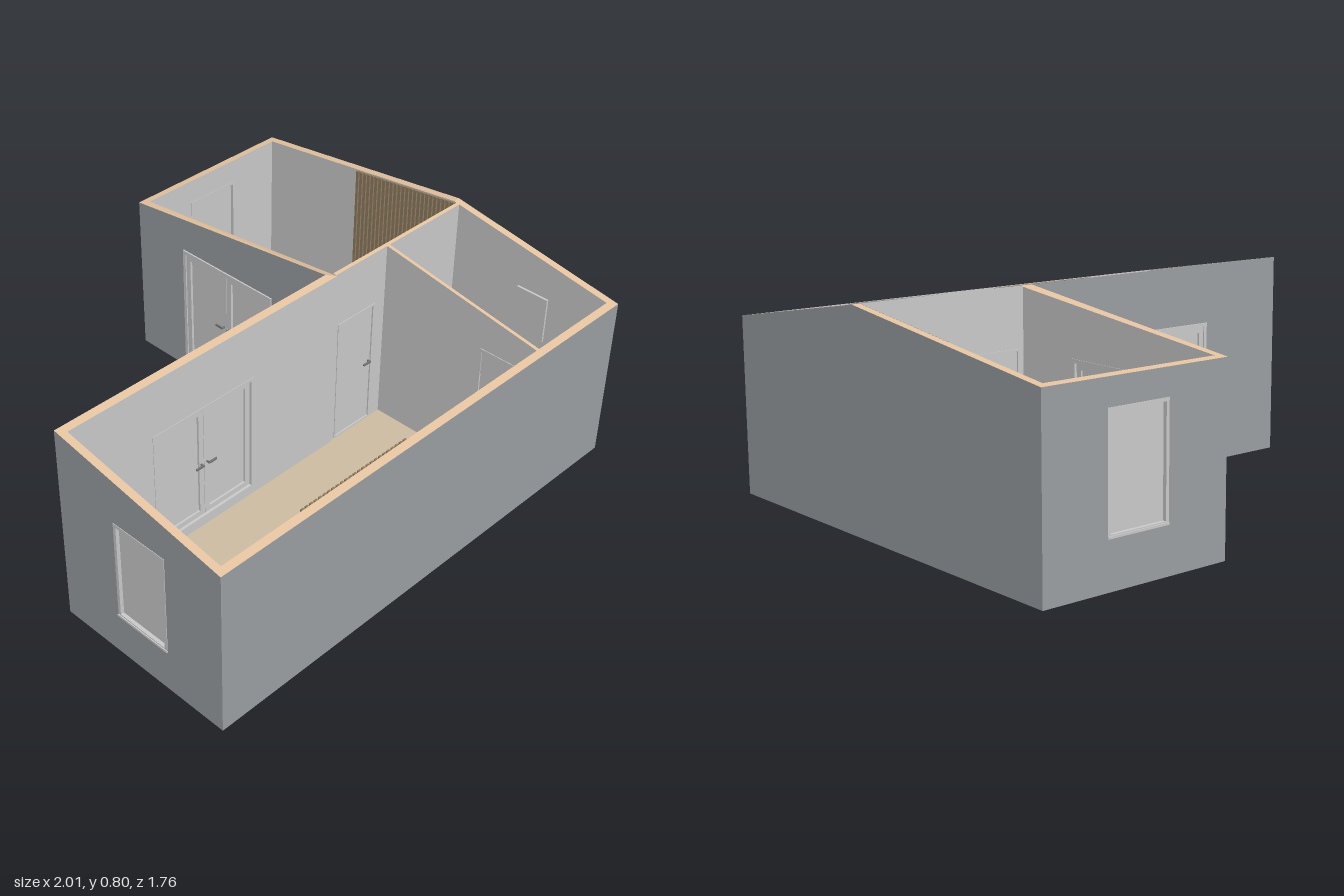
import * as THREE from 'three';

const mat = (color) => new THREE.MeshStandardMaterial({ color, flatShading: true });
const plaster = mat(0xcccccc);
const cladding = mat(0x9ba0a3);
const timber = mat(0xe6c4a0);
const boards = mat(0xd0bea4);
const underside = mat(0x85888b);
const slatWood = mat(0x8f7d60);
const handleMetal = mat(0x777777);

const T = 0.03; // outer wall thickness
const RIDGE = 0.125;
const roofHeight = (z) => 0.795 - (z > RIDGE ? (z - RIDGE) / 6 : (RIDGE - z) / 8);

function box(parent, name, x0, x1, y0, y1, z0, z1, material = plaster) {
  const m = new THREE.Mesh(new THREE.BoxGeometry(x1 - x0, y1 - y0, z1 - z0), material);
  m.position.set((x0 + x1) / 2, (y0 + y1) / 2, (z0 + z1) / 2);
  m.name = name;
  parent.add(m);
  return m;
}

// separate materials for the first cap, second cap and sides of an extrusion
function splitCaps(geo) {
  const caps = geo.groups[0].count;
  const total = geo.attributes.position.count;
  geo.clearGroups();
  geo.addGroup(0, caps / 2, 0);
  geo.addGroup(caps / 2, caps / 2, 1);
  geo.addGroup(caps, total - caps, 2);
}

// wall from a to b; local x runs along it, local z points outwards (outer face at z = 0)
// k0, k1: corner mitres (1 convex, -1 concave, 0 square)
function wall(parent, name, a, b, t, k0, k1, holes = [], outer = cladding) {
  const len = Math.hypot(b[0] - a[0], b[1] - a[1]);
  const dx = (b[0] - a[0]) / len, dz = (b[1] - a[1]) / len;
  const pts = [[0, 0], [len, 0], [len, 1]];
  const ridgeU = dz ? (RIDGE - a[1]) / dz : -1;
  if (ridgeU > 0.001 && ridgeU < len - 0.001) pts.push([ridgeU, 1]);
  pts.push([0, 1]);
  const shape = new THREE.Shape(pts.map((p) => new THREE.Vector2(...p)));
  for (const [u0, u1, y0, y1] of holes) {
    shape.holes.push(new THREE.Path([[u0, y0], [u0, y1], [u1, y1], [u1, y0]].map((p) => new THREE.Vector2(...p))));
  }
  const geo = new THREE.ExtrudeGeometry(shape, { depth: t, bevelEnabled: false });
  geo.translate(0, 0, -t);
  const p = geo.attributes.position;
  for (let i = 0; i < p.count; i++) {
    let u = p.getX(i);
    const w = p.getZ(i);
    if (u < 1e-4) u += -w * k0;
    else if (u > len - 1e-4) u += w * k1;
    p.setX(i, u);
    // wall heads follow the roof pitch
    if (p.getY(i) > 0.9) p.setY(i, roofHeight(a[1] + u * dz + w * dx));
  }
  geo.computeVertexNormals();
  splitCaps(geo);
  const g = new THREE.Group();
  g.name = name;
  g.position.set(a[0], 0, a[1]);
  g.rotation.y = Math.atan2(-dz, dx);
  const m = new THREE.Mesh(geo, [plaster, outer, timber]);
  m.name = name + 'Body';
  g.add(m);
  parent.add(g);
  return g;
}

// four bars around a rectangle
function frame(g, name, [u0, u1, y0, y1], bar, z0, z1) {
  box(g, name, u0, u0 + bar, y0, y1, z0, z1);
  box(g, name, u1 - bar, u1, y0, y1, z0, z1);
  box(g, name, u0 + bar, u1 - bar, y1 - bar, y1, z0, z1);
  box(g, name, u0 + bar, u1 - bar, y0, y0 + bar, z0, z1);
}

// lever handle on both faces
function handle(g, u, y, dir, zIn, zOut) {
  for (const [z, s] of [[zOut, 1], [zIn, -1]]) {
    const far = z + s * 0.016;
    box(g, 'handleStem', u - 0.003, u + 0.003, y - 0.003, y + 0.003, Math.min(z, far), Math.max(z, far), handleMetal);
    const end = u + dir * 0.035, near = far - s * 0.006;
    box(g, 'handleLever', Math.min(u, end), Math.max(u, end), y - 0.004, y + 0.004,
      Math.min(near, far), Math.max(near, far), handleMetal);
  }
}

function doubleDoor(g, o) {
  const [u0, u1, y0, y1] = o, mid = (u0 + u1) / 2;
  frame(g, 'doorFrame', o, 0.014, -T - 0.002, 0.006);
  for (const [a, b, h, dir] of [[u0 + 0.015, mid - 0.001, mid - 0.014, -1], [mid + 0.001, u1 - 0.015, mid + 0.014, 1]]) {
    frame(g, 'doorLeaf', [a, b, y0 + 0.015, y1 - 0.015], 0.022, -0.022, 0.002);
    box(g, 'doorPane', a + 0.02, b - 0.02, y0 + 0.03, y1 - 0.03, -0.014, -0.008);
    handle(g, h, 0.31, dir, -0.022, 0.002);
  }
}

function windowUnit(g, o) {
  const [u0, u1, y0, y1] = o;
  frame(g, 'windowFrame', o, 0.012, -T - 0.002, 0.002);
  box(g, 'windowPane', u0 + 0.01, u1 - 0.01, y0 + 0.01, y1 - 0.01, -0.018, -0.012);
  box(g, 'windowSill', u0, u1, y0, y0 + 0.008, 0, 0.006);
}

function innerDoor(g, o, t, u, dir) {
  const [u0, u1, y0, y1] = o;
  frame(g, 'innerDoorFrame', o, 0.008, -t - 0.003, 0.003);
  box(g, 'innerDoorLeaf', u0 + 0.009, u1 - 0.009, y0 + 0.009, y1 - 0.009, -t + 0.002, -0.002);
  handle(g, u, 0.31, dir, -t + 0.002, -0.002);
}

// flat outline in x and z, raised from y0 to y1
function slab(parent, name, shape, y0, y1, materials = plaster) {
  const geo = new THREE.ExtrudeGeometry(shape, { depth: y1 - y0, bevelEnabled: false, curveSegments: 16 });
  geo.rotateX(Math.PI / 2);
  geo.translate(0, y1, 0);
  if (Array.isArray(materials)) splitCaps(geo);
  const m = new THREE.Mesh(geo, materials);
  m.name = name;
  parent.add(m);
}

// quarter-round shower outline with its corner at (x, z)
function showerShape(x, z, size, straight) {
  const r = size - straight, s = new THREE.Shape();
  s.moveTo(x, z);
  s.lineTo(x - size, z);
  s.lineTo(x - size, z + straight);
  s.absarc(x - straight, z + straight, r, Math.PI, Math.PI / 2, true);
  s.lineTo(x, z + size);
  s.closePath();
  return s;
}

function bathroom(root) {
  const g = new THREE.Group();
  g.name = 'bathroom';
  root.add(g);
  // shower tray with raised rim
  const rim = showerShape(0.967, 0.152, 0.222, 0.05);
  rim.holes.push(showerShape(0.945, 0.172, 0.185, 0.04));
  slab(g, 'showerRim', rim, 0.03, 0.075);
  slab(g, 'showerTray', showerShape(0.96, 0.16, 0.208, 0.045), 0.03, 0.05);
  // basin and mirror
  box(g, 'basinBack', 0.93, 0.969, 0.2, 0.27, 0.455, 0.6);
  const bowlPts = [[0.001, 0.19], [0.03, 0.2], [0.052, 0.265], [0.044, 0.265], [0.026, 0.215], [0.001, 0.21]];
  const bowl = new THREE.Mesh(new THREE.LatheGeometry(bowlPts.map((p) => new THREE.Vector2(...p)), 24), plaster);
  bowl.position.set(0.932, 0.008, 0.527);
  bowl.name = 'basinBowl';
  g.add(bowl);
  box(g, 'tap', 0.925, 0.94, 0.27, 0.285, 0.522, 0.532, handleMetal);
  box(g, 'mirror', 0.96, 0.969, 0.38, 0.57, 0.46, 0.6);
  // toilet
  box(g, 'toiletCistern', 0.917, 0.969, 0.03, 0.25, 0.685, 0.775);
  const seat = (r, end) => {
    const s = new THREE.Shape();
    s.moveTo(0.917, 0.73 + r);
    s.lineTo(end + r, 0.73 + r);
    s.absarc(end + r, 0.73, r, Math.PI / 2, Math.PI * 1.5, false);
    s.lineTo(0.917, 0.73 - r);
    return s;
  };
  slab(g, 'toiletFoot', seat(0.03, 0.84), 0.03, 0.1);
  slab(g, 'toiletBowl', seat(0.043, 0.808), 0.1, 0.145);
  slab(g, 'toiletSeat', seat(0.046, 0.805), 0.145, 0.16);
}

export function createModel() {
  const root = new THREE.Group();
  root.name = 'house';
  const B = 0.875;

  // floor inside the L-shaped walls
  const plan = [[-0.97, 0.155], [0.28, 0.155], [0.28, -0.845], [0.97, -0.845], [0.97, 0.845], [-0.97, 0.845]];
  slab(root, 'floor', new THREE.Shape(plan.map((p) => new THREE.Vector2(...p))), 0.02, 0.03, [boards, underside, boards]);

  // outer walls
  wall(root, 'frontWall', [-1, B], [1, B], T, 1, 1);
  wall(root, 'leftWall', [1, B], [1, -B], T, 1, 1);
  const wingWindow = [0.25, 0.5, 0.17, 0.575];
  windowUnit(wall(root, 'wingBackWall', [1, -B], [0.25, -B], T, 1, 1, [wingWindow]), wingWindow);
  const wingDoor = [0.255, 0.735, 0.06, 0.565];
  doubleDoor(wall(root, 'wingSideWall', [0.25, -B], [0.25, RIDGE], T, 1, -1, [wingDoor]), wingDoor);
  const mainDoor = [0.39, 0.87, 0.06, 0.565];
  doubleDoor(wall(root, 'mainBackWall', [0.25, RIDGE], [-1, RIDGE], T, -1, 1, [mainDoor]), mainDoor);
  const endWindow = [0.265, 0.5, 0.17, 0.575];
  windowUnit(wall(root, 'rightWall', [-1, RIDGE], [-1, B], T, 1, 1, [endWindow]), endWindow);

  // thin partitions with inner doors
  const bathDoor = [0.035, 0.235, 0.032, 0.565];
  innerDoor(wall(root, 'bathroomPartition', [0.57, 0.845], [0.57, 0.15], 0.014, 0, 0, [bathDoor], plaster), bathDoor, 0.014, 0.215, -1);
  const roomDoor = [0.02, 0.22, 0.032, 0.565];
  innerDoor(wall(root, 'wingPartition', [0.28, 0.15], [0.97, 0.15], 0.014, 0, 0, [roomDoor], plaster), roomDoor, 0.014, 0.2, -1);

  // slatted wall panels
  const N = 25, step = 0.02;
  box(root, 'slatBacking', -0.62, -0.12, 0.03, 0.672, 0.842, 0.846, slatWood);
  for (let i = 0; i < N; i++) {
    const x = -0.62 + i * step, z = -0.365 + i * step;
    box(root, 'frontSlat', x, x + 0.012, 0.03, 0.672, 0.834, 0.842, slatWood);
    const top = roofHeight(z) - 0.003;
    box(root, 'sideSlat', 0.96, 0.967, 0.03, top, z, z + 0.012, slatWood);
    box(root, 'sideSlatBacking', 0.967, 0.971, 0.03, top, z, z + step, slatWood);
  }

  bathroom(root);
  return root;
}
